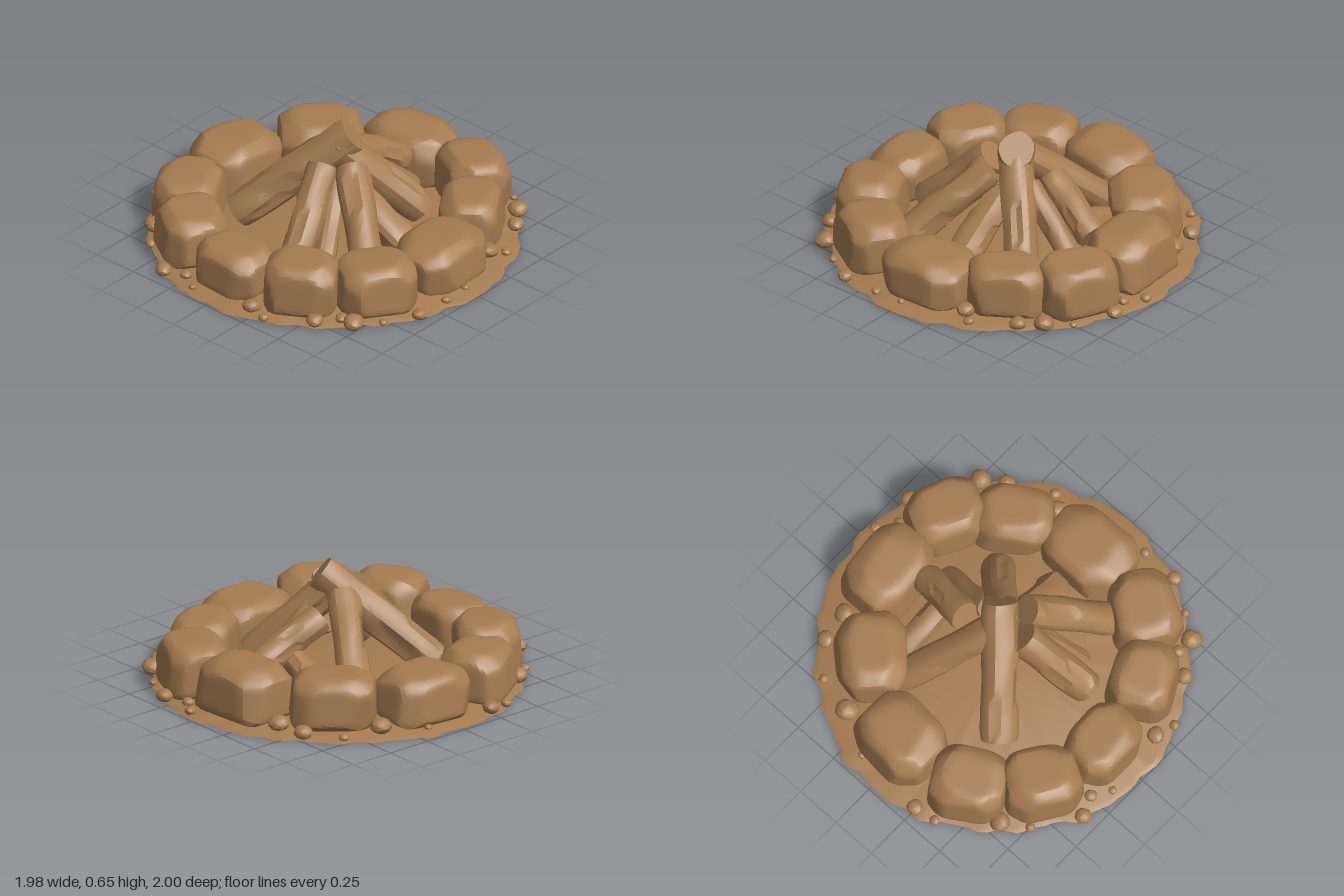
import * as THREE from 'three';
import { mergeVertices, toCreasedNormals } from 'three/addons/utils/BufferGeometryUtils.js';

const earth = new THREE.MeshStandardMaterial({ name: 'earthBrown', color: 0xa57b50 });

// Small seeded random generator
function seeded(seed) {
  let s = seed * 7919 + 17;
  const next = () => {
    s = (s * 16807) % 2147483647;
    return s / 2147483647;
  };
  for (let i = 0; i < 5; i++) next();
  return next;
}

// Weld a geometry, move its vertices by a rule and keep its sharp edges
function shaped(source, crease, rule) {
  source.deleteAttribute('normal');
  source.deleteAttribute('uv');
  const g = mergeVertices(source, 1e-4);
  const p = g.attributes.position;
  const v = new THREE.Vector3();
  for (let i = 0; i < p.count; i++) {
    rule(v.fromBufferAttribute(p, i));
    p.setXYZ(i, v.x, v.y, v.z);
  }
  return toCreasedNormals(g, crease);
}

// Chiselled boulder: a sphere pressed against a box with chamfered corners and edges
function boulderGeometry(width, height, depth, seed) {
  const rand = seeded(seed);
  const planes = [];
  const addPlane = (x, y, z, h, wobble) => {
    const jitter = () => (rand() - 0.5) * wobble;
    planes.push([new THREE.Vector3(x + jitter(), y + jitter(), z + jitter()).normalize(), h + jitter() * 0.2]);
  };
  addPlane(0, -1, 0, 1, 0);
  addPlane(0, 1, 0, 1, 0.16);
  for (const s of [-1, 1]) {
    addPlane(s, 0.06, 0, 1, 0.16);
    addPlane(0, 0.06, s, 1, 0.16);
    addPlane(s, 1, 0, 1.17, 0.4);
    addPlane(0, 1, s, 1.17, 0.4);
    addPlane(s, -1, 0, 1.25, 0.2);
    addPlane(0, -1, s, 1.25, 0.2);
    for (const t of [-1, 1]) {
      addPlane(s, 0, t, 1.13, 0.35);
      addPlane(s, 0.9, t, 1.2, 0.45);
    }
  }
  return shaped(new THREE.IcosahedronGeometry(1, 9), 0.35, (v) => {
    v.normalize();
    let sum = 0;
    for (const [n, h] of planes) sum += Math.pow(Math.max(0, v.dot(n)) / h, 30);
    v.multiplyScalar(Math.pow(sum, -1 / 30));
    v.set(v.x * width / 2, v.y * height / 2, v.z * depth / 2);
  });
}

// Log between two points, with uneven bark, cracks and flat sawn ends
function makeLog(name, foot, top, radius, seed) {
  const rand = seeded(seed);
  const a = new THREE.Vector3(...foot);
  const b = new THREE.Vector3(...top);
  const length = a.distanceTo(b);
  const sides = 18;
  const bark = Array.from({ length: sides }, () => 0.95 + rand() * 0.11);
  const cracks = Array.from({ length: 6 }, () => [Math.floor(rand() * sides), (rand() - 0.5) * 0.8]);
  const phase = rand() * 6;
  const geometry = shaped(new THREE.CylinderGeometry(radius, radius, length, sides, 14), 0.45, (v) => {
    if (Math.hypot(v.x, v.z) < 1e-5) return;
    const t = v.y / length;
    const angle = Math.atan2(v.z, v.x);
    const k = (Math.round((angle / (2 * Math.PI)) * sides) + sides) % sides;
    let f = bark[k] + 0.035 * Math.sin(t * 9 + phase + 2 * angle);
    for (const [side, at] of cracks) if (side === k && Math.abs(t - at) < 0.15) f -= 0.14;
    if (Math.abs(t) > 0.49) f *= 0.94;
    v.x *= f;
    v.z *= f;
  });
  const mesh = new THREE.Mesh(geometry, earth);
  mesh.name = name;
  mesh.position.copy(a).add(b).multiplyScalar(0.5);
  mesh.quaternion.setFromUnitVectors(new THREE.Vector3(0, 1, 0), b.sub(a).normalize());
  return mesh;
}

// Thin patch of earth with a ragged rim
function makeGround() {
  const geometry = shaped(new THREE.CylinderGeometry(0.97, 1, 0.012, 120, 1), 0.5, (v) => {
    const a = Math.atan2(v.z, v.x);
    const f = 0.977 + 0.014 * Math.cos(4 * a) + 0.008 * Math.cos(a - 0.8) + 0.008 * Math.sin(13 * a + 2)
      + 0.009 * Math.sin(23 * a) + 0.007 * Math.sin(37 * a + 4);
    v.x = THREE.MathUtils.clamp(v.x * f, -1, 1);
    v.z = THREE.MathUtils.clamp(v.z * f, -1, 1);
    v.y += 0.008;
  });
  const mesh = new THREE.Mesh(geometry, earth);
  mesh.name = 'ground';
  return mesh;
}

export function createModel() {
  const model = new THREE.Group();
  model.name = 'campfire';
  model.add(makeGround());

  // Ring of boulders: x, z, width along the ring, height, depth
  const ring = new THREE.Group();
  ring.name = 'stoneRing';
  const stones = [
    [-0.02, 0.74, 0.40, 0.25, 0.32],
    [0.37, 0.66, 0.38, 0.29, 0.34],
    [0.65, 0.41, 0.41, 0.28, 0.35],
    [0.71, -0.03, 0.48, 0.25, 0.38],
    [0.57, -0.43, 0.41, 0.28, 0.32],
    [0.34, -0.70, 0.41, 0.29, 0.33],
    [-0.09, -0.71, 0.47, 0.29, 0.36],
    [-0.49, -0.455, 0.44, 0.285, 0.36],
    [-0.71, -0.04, 0.46, 0.27, 0.37],
    [-0.655, 0.39, 0.40, 0.27, 0.35],
    [-0.40, 0.66, 0.40, 0.28, 0.34],
  ];
  stones.forEach(([x, z, w, h, d], i) => {
    const stone = new THREE.Mesh(boulderGeometry(w, h, d, i + 3), earth);
    stone.name = 'boulder' + (i + 1);
    stone.position.set(x, h / 2, z);
    stone.rotation.y = Math.atan2(x, z);
    ring.add(stone);
  });
  model.add(ring);

  // Leaning firewood: foot, top, radius
  const wood = new THREE.Group();
  wood.name = 'firewood';
  const logs = [
    [[-0.37, 0.11, 0.33], [0.07, 0.575, -0.07], 0.098],
    [[0.32, 0.11, -0.32], [0.0, 0.53, 0.0], 0.092],
    [[0.52, 0.10, 0.31], [0.16, 0.46, 0.04], 0.088],
    [[0.15, 0.10, 0.47], [0.03, 0.45, 0.12], 0.09],
    [[0.0, 0.2, -0.53], [-0.07, 0.39, -0.19], 0.082],
    [[-0.45, 0.10, -0.27], [-0.04, 0.48, -0.01], 0.086],
    [[0.46, 0.09, -0.03], [0.10, 0.30, 0.0], 0.088],
    [[-0.33, 0.09, -0.38], [-0.02, 0.22, -0.36], 0.07],
    [[0.11, 0.09, -0.48], [0.05, 0.38, -0.14], 0.062],
    [[0.24, 0.08, 0.35], [0.09, 0.38, 0.08], 0.065],
  ];
  logs.forEach(([foot, top, r], i) => wood.add(makeLog('log' + (i + 1), foot, top, r, i + 21)));
  model.add(wood);

  // Scattered pebbles: x, z, radius
  const gravel = new THREE.Group();
  gravel.name = 'pebbles';
  const pebbles = [
    [0.07, -0.95, 0.03], [0.30, -0.93, 0.043], [0.17, -0.88, 0.03], [0.63, -0.73, 0.053],
    [0.71, -0.62, 0.043], [0.84, -0.40, 0.028], [0.78, -0.33, 0.048], [0.51, -0.83, 0.02],
    [-0.56, -0.72, 0.046], [-0.39, -0.74, 0.053], [-0.72, -0.58, 0.026], [-0.77, -0.37, 0.058],
    [-0.89, -0.15, 0.022], [-0.92, 0.25, 0.043], [-0.90, 0.37, 0.027], [-0.68, 0.63, 0.054],
    [-0.59, 0.76, 0.026], [-0.36, 0.92, 0.042], [-0.25, 0.87, 0.032], [-0.15, 0.93, 0.022],
    [0.22, 0.89, 0.046], [0.33, 0.92, 0.027], [0.56, 0.78, 0.044], [0.73, 0.67, 0.053],
    [0.64, 0.66, 0.033], [0.92, 0.37, 0.038], [0.92, 0.16, 0.026], [0.91, 0.0, 0.02],
    [0.82, 0.54, 0.022],
  ];
  pebbles.forEach(([x, z, r], i) => {
    const geometry = shaped(new THREE.IcosahedronGeometry(r, 1), 0.5, (v) => {
      v.multiplyScalar(1.04 + 0.06 * Math.sin((2 * v.x + 2.5 * v.z - 2 * v.y) / r + i));
      v.y *= 0.75;
    });
    const pebble = new THREE.Mesh(geometry, earth);
    pebble.name = 'pebble' + (i + 1);
    pebble.position.set(x, r * 0.8 + 0.002, z);
    gravel.add(pebble);
  });
  model.add(gravel);

  return model;
}
